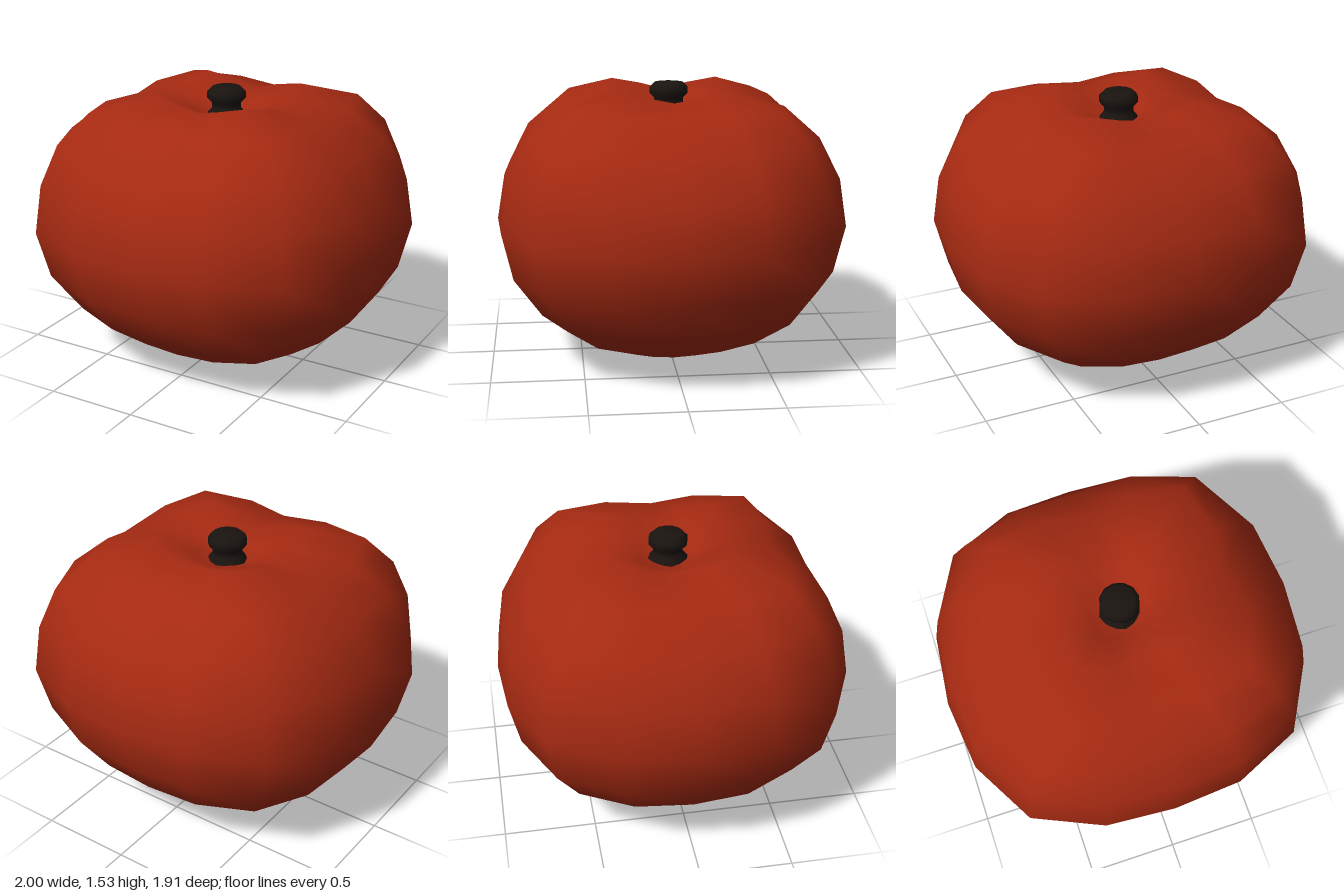
import * as THREE from 'three';

// Each ring: radius and height along the flat sides, then along the four lobes
const RINGS = [
  [0.15, 1.39, 0.19, 1.42],
  [0.31, 1.45, 0.42, 1.515],
  [0.58, 1.41, 0.76, 1.43],
  [0.81, 1.25, 0.93, 1.27],
  [0.955, 1.03, 1.03, 1.05],
  [1.0, 0.78, 1.07, 0.78],
  [0.94, 0.52, 1.0, 0.52],
  [0.78, 0.30, 0.83, 0.30],
  [0.56, 0.14, 0.60, 0.145],
  [0.30, 0.035, 0.32, 0.04],
  [0.15, 0.005, 0.16, 0.006],
];
const SIDES = 16;

// Squarish fruit body, lofted from a dimpled top to a flat base
function createBody() {
  const positions = [0, 1.34, 0];
  const index = [];
  for (const [sideR, sideY, lobeR, lobeY] of RINGS) {
    for (let i = 0; i < SIDES; i++) {
      const a = (i / SIDES) * Math.PI * 2;
      const lobe = (1 - Math.cos(4 * a)) / 2;
      const depth = 1 - 0.047 * Math.max(0, -Math.cos(2 * a));
      const r = THREE.MathUtils.lerp(sideR, lobeR, lobe) * depth;
      positions.push(
        Math.cos(a) * r,
        THREE.MathUtils.lerp(sideY, lobeY, lobe),
        Math.sin(a) * r
      );
    }
  }
  positions.push(0, 0, 0);
  const last = positions.length / 3 - 1;
  const at = (ring, i) => 1 + ring * SIDES + (i % SIDES);
  for (let i = 0; i < SIDES; i++) {
    index.push(0, at(0, i + 1), at(0, i));
    for (let k = 0; k < RINGS.length - 1; k++) {
      index.push(at(k, i), at(k, i + 1), at(k + 1, i));
      index.push(at(k, i + 1), at(k + 1, i + 1), at(k + 1, i));
    }
    index.push(last, at(RINGS.length - 1, i), at(RINGS.length - 1, i + 1));
  }
  const geometry = new THREE.BufferGeometry();
  geometry.setAttribute('position', new THREE.Float32BufferAttribute(positions, 3));
  geometry.setIndex(index);
  geometry.computeVertexNormals();
  return geometry;
}

// Short stem with a flared foot, narrow neck and rounded cap
function createStem() {
  const profile = [
    [0.13, 1.30], [0.115, 1.37], [0.08, 1.41], [0.08, 1.44],
    [0.105, 1.465], [0.105, 1.50], [0.08, 1.525], [0, 1.53],
  ].map(([r, y]) => new THREE.Vector2(r, y));
  return new THREE.LatheGeometry(profile, 12);
}

export function createModel() {
  const model = new THREE.Group();
  const addPart = (name, geometry, color) => {
    const mesh = new THREE.Mesh(geometry, new THREE.MeshStandardMaterial({ color }));
    mesh.name = name;
    model.add(mesh);
  };
  addPart('fruitBody', createBody(), 0xa62a12);
  addPart('stem', createStem(), 0x1a1410);
  return model;
}
